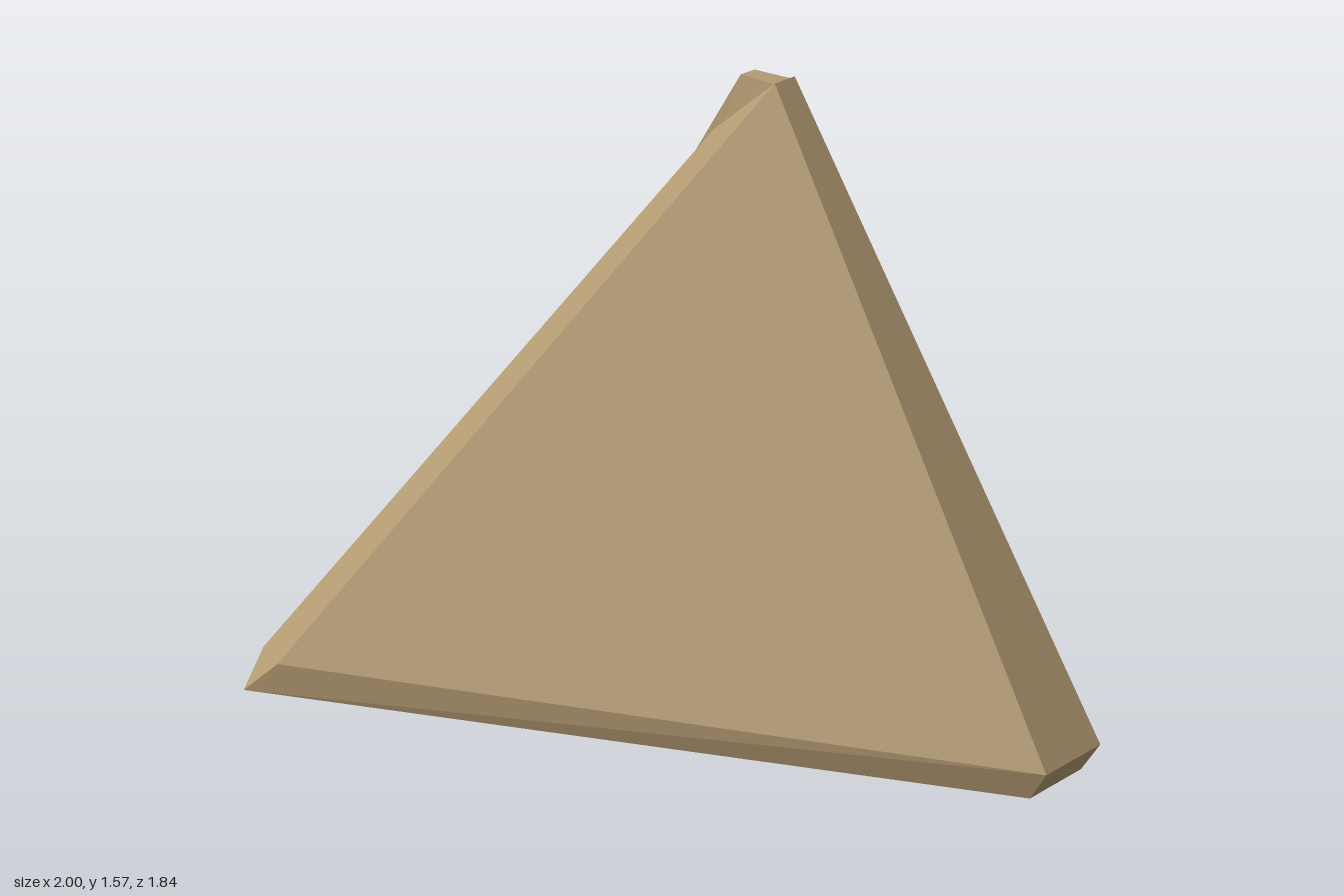
import * as THREE from 'three';

// Flat-shaded mesh from convex loops of points; loops are turned to face away from the centre if one is given.
function facetMesh(name, loops, material, centre) {
  const positions = [];
  for (const loop of loops) {
    const p = loop.map(c => new THREE.Vector3(...c));
    if (centre) {
      const normal = p[1].clone().sub(p[0]).cross(p[2].clone().sub(p[0]));
      const middle = p.reduce((s, q) => s.add(q), new THREE.Vector3()).divideScalar(p.length);
      if (normal.dot(middle.sub(centre)) < 0) p.reverse();
    }
    for (let i = 1; i < p.length - 1; i++) {
      for (const q of [p[0], p[i], p[i + 1]]) positions.push(q.x, q.y, q.z);
    }
  }
  const geometry = new THREE.BufferGeometry();
  geometry.setAttribute('position', new THREE.Float32BufferAttribute(positions, 3));
  geometry.computeVertexNormals();
  const mesh = new THREE.Mesh(geometry, material);
  mesh.name = name;
  return mesh;
}

// Rib from a side profile of [x, y, half width]
function rib(name, profile, z, material) {
  const near = profile.map(([x, y, w]) => [x, y, z + w]);
  const far = profile.map(([x, y, w]) => [x, y, z - w]);
  const loops = [near, far];
  profile.forEach((_, i) => {
    const j = (i + 1) % profile.length;
    loops.push([near[i], near[j], far[j], far[i]]);
  });
  const centre = new THREE.Vector3(0, 0, z);
  profile.forEach(([x, y]) => {
    centre.x += x / profile.length;
    centre.y += y / profile.length;
  });
  return facetMesh(name, loops, material, centre);
}

export function createModel() {
  const group = new THREE.Group();
  group.name = 'bevelledPyramid';
  const tan = new THREE.MeshStandardMaterial({ color: 0xb39a72, flatShading: true });
  tan.name = 'sandy tan';

  // Bevelled pyramid corners, one side (+z); mirrored below
  const m = ([x, y, z]) => [x, y, -z];
  const sideLow = [-0.89, 0.08, 0.83];
  const base = [-0.87, 0, 0.92];
  const frontLow = [-0.775, 0.09, 0.89];
  const noseLow = [0.95, 0, 0.1];
  const nose = [1, 0.08, 0.105];
  const apex = [0.1, 1.565, 0.036];
  const sideTop = [-0.09, 1.41, 0.04];

  const half = [
    [frontLow, nose, apex],               // large face
    [frontLow, apex, sideTop, sideLow],   // sloping edge bevel
    [sideLow, base, frontLow],            // corner
    [base, noseLow, nose, frontLow],      // foot bevel
  ];
  const across = [[noseLow, nose], [nose, apex], [apex, sideTop], [sideLow, base], [base, noseLow]]
    .map(([a, b]) => [a, b, m(b), m(a)]);
  group.add(facetMesh('pyramidBody', [...half, ...half.map(l => l.map(m)), ...across],
    tan, new THREE.Vector3(-0.15, 0.45, 0)));

  // Side face lies in a plane, drawn in (z, x) with a teardrop opening
  const faceY = x => 0.08 + (x + 0.89) * 1.6625;
  const outline = [
    [-0.58, 0.01], [-0.555, 0.055], [-0.5, 0.1], [-0.42, 0.13], [-0.38, 0.07],
    [-0.38, -0.05], [-0.42, -0.1], [-0.49, -0.08], [-0.54, -0.05],
  ];
  const shape = new THREE.Shape([
    [0.83, -0.89], [0.04, -0.09], [-0.04, -0.09], [-0.83, -0.89],
  ].map(p => new THREE.Vector2(...p)));
  shape.holes.push(new THREE.Path(outline.map(([x, z]) => new THREE.Vector2(z, x))));
  const geometry = new THREE.ShapeGeometry(shape);
  const pos = geometry.attributes.position;
  for (let i = 0; i < pos.count; i++) {
    const z = pos.getX(i), x = pos.getY(i);
    pos.setXYZ(i, x, faceY(x), z);
  }
  geometry.computeVertexNormals();
  const face = new THREE.Mesh(geometry, tan);
  face.name = 'sideFace';
  group.add(face);

  // Hollow behind the opening
  const rim = outline.map(([x, z]) => [x, faceY(x), z]);
  const deep = [-0.375, 0.73, 0.005];
  group.add(facetMesh('hollow', rim.map((p, i) => [p, rim[(i + 1) % rim.length], deep]), tan));

  // Ribs along the foot, and one under the apex
  const footProfile = [
    [-1, 0.02, 0.048], [-0.82, 0.325, 0.022], [-0.735, 0.325, 0.031],
    [-0.87, 0.08, 0.048], [-0.86, 0, 0.048], [-0.99, 0, 0.048],
  ];
  [-0.39, -0.005, 0.385].forEach((z, i) => group.add(rib('footRib' + (i + 1), footProfile, z, tan)));
  const topProfile = [
    [-0.203, 1.257, 0.048], [-0.02, 1.558, 0.025], [0.09, 1.558, 0.03], [-0.15, 1.21, 0.048],
  ];
  group.add(rib('topRib', topProfile, -0.005, tan));

  return group;
}
